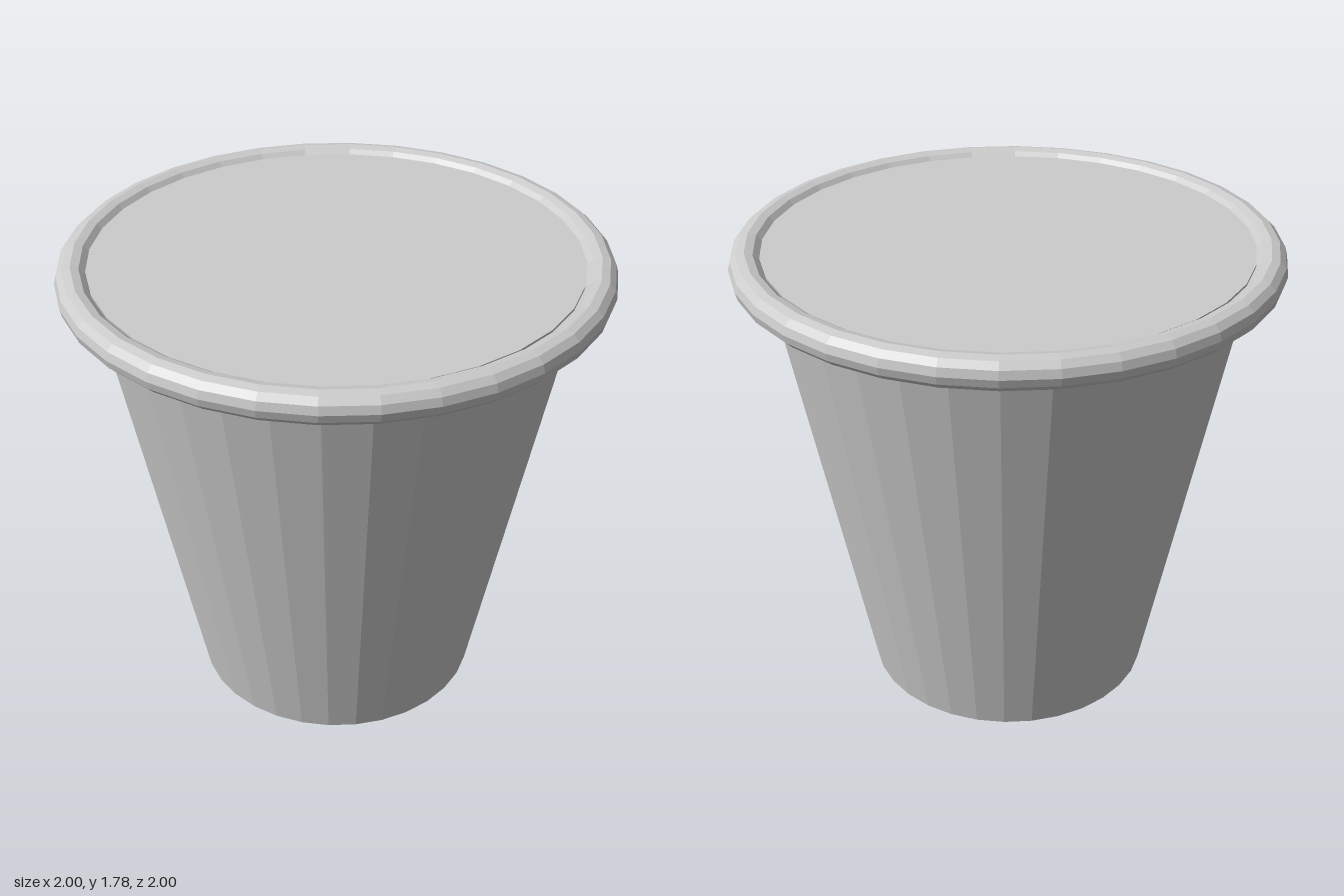
import * as THREE from 'three';

export function createModel() {
  const group = new THREE.Group();
  const material = new THREE.MeshStandardMaterial({ color: 0xcccccc, flatShading: true });
  const SIDES = 32;

  const add = (name, geometry, y) => {
    const mesh = new THREE.Mesh(geometry, material);
    mesh.name = name;
    mesh.position.y = y;
    group.add(mesh);
  };

  // Tapered solid body, closed at the base and just below the rim's crest
  const height = 1.763;
  add('body', new THREE.CylinderGeometry(0.888, 0.54, height, SIDES), height / 2);

  // Rolled rim around the top
  const rim = new THREE.TorusGeometry(0.94, 0.06, 12, SIDES);
  rim.rotateX(-Math.PI / 2);
  add('rim', rim, 1.725);

  return group;
}
